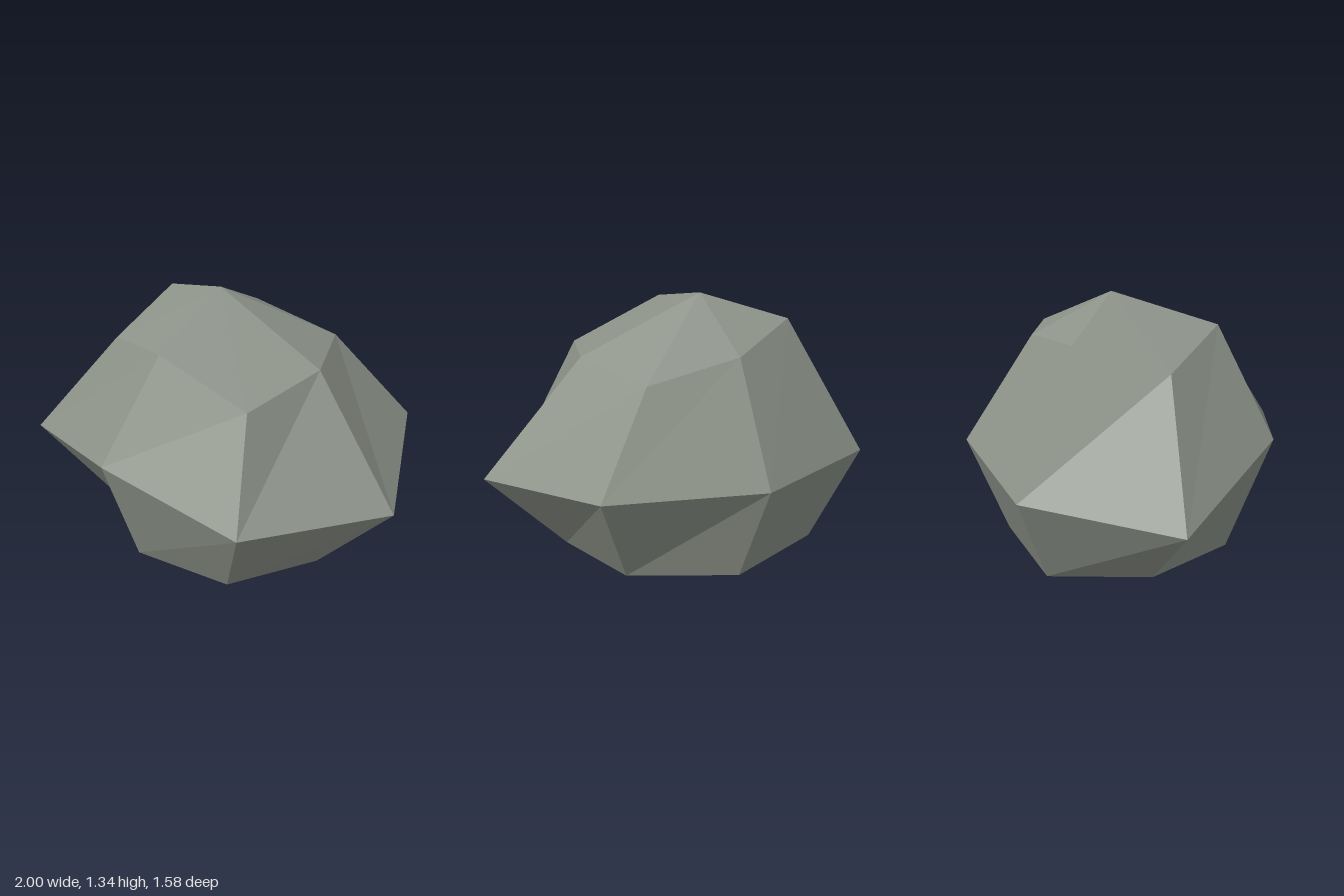
import * as THREE from 'three';

// Seven-sided cross-sections, counter-clockwise from the front right corner
const foot = [
  [-0.60, 0, 0.25], [-0.18, 0, 0.56], [0.36, 0, 0.47], [0.57, 0, 0.0],
  [0.36, 0, -0.45], [-0.19, 0, -0.60], [-0.69, 0, -0.27],
];
const waist = [
  [-1.0, 0.43, 0.48], [-0.19, 0.62, 0.79], [0.59, 0.455, 0.66], [1.0, 0.44, -0.05],
  [0.56, 0.56, -0.77], [-0.28, 0.53, -0.79], [-0.93, 0.50, -0.35],
];
const shoulder = [
  [-0.53, 1.06, 0.32], [-0.07, 1.17, 0.48], [0.42, 0.985, 0.39], [0.49, 1.06, -0.08],
  [0.26, 1.03, -0.50], [-0.23, 1.11, -0.44], [-0.58, 1.19, -0.15],
];
const peak = [-0.14, 1.335, -0.05];
const base = [0, 0, 0];

function facetedMesh(name, triangles, material) {
  const geometry = new THREE.BufferGeometry();
  geometry.setAttribute('position', new THREE.Float32BufferAttribute(triangles.flat(2), 3));
  geometry.computeVertexNormals();
  const mesh = new THREE.Mesh(geometry, material);
  mesh.name = name;
  return mesh;
}

export function createModel() {
  const group = new THREE.Group();
  group.name = 'rock';
  const stone = new THREE.MeshStandardMaterial({ color: 0x8e948a, flatShading: true });
  stone.name = 'grey stone';

  const triangles = [];
  for (let i = 0; i < 7; i++) {
    const j = (i + 1) % 7;
    // Sides: lower and upper bands
    for (const [low, high] of [[foot, waist], [waist, shoulder]]) {
      triangles.push([low[i], low[j], high[j]], [low[i], high[j], high[i]]);
    }
    // Crown and underside
    triangles.push([shoulder[i], shoulder[j], peak], [foot[j], foot[i], base]);
  }
  group.add(facetedMesh('boulder', triangles, stone));
  return group;
}
